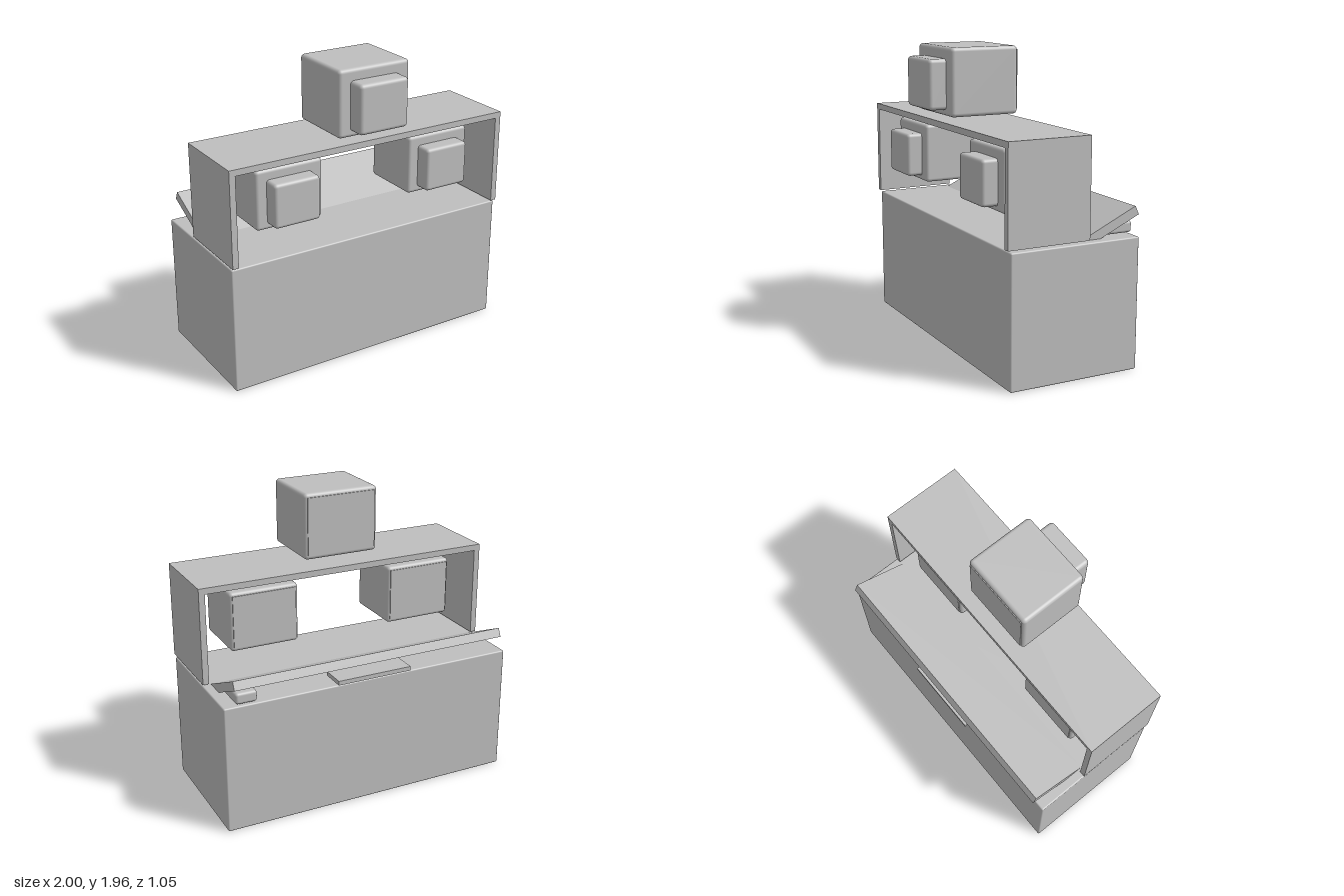
import * as THREE from 'three';
import { RoundedBoxGeometry } from 'three/addons/geometries/RoundedBoxGeometry.js';

export function createModel() {
  const model = new THREE.Group();
  const grey = new THREE.MeshStandardMaterial({ color: 0xbfbfbf });
  grey.name = 'light grey';

  const add = (name, geometry, parent = model) => {
    const mesh = new THREE.Mesh(geometry, grey);
    mesh.name = name;
    parent.add(mesh);
    return mesh;
  };

  // Box given by its limits on each axis; radius 0 keeps the edges sharp
  const block = (name, [x0, x1], [y0, y1], [z0, z1], radius = 0, parent = model) => {
    const size = [x1 - x0, y1 - y0, z1 - z0];
    const geometry = radius
      ? new RoundedBoxGeometry(...size, 3, radius)
      : new THREE.BoxGeometry(...size);
    add(name, geometry, parent).position.set((x0 + x1) / 2, (y0 + y1) / 2, (z0 + z1) / 2);
  };

  // Large cabinet
  block('cabinet', [-1, 1], [0, 0.845], [-0.485, 0.395], 0.01);

  // Open hood: two sides and a top, in one profile
  const hood = new THREE.Shape([
    [-1, 0.86], [-0.96, 0.86], [-0.96, 1.45], [0.96, 1.45],
    [0.96, 0.86], [1, 0.86], [1, 1.49], [-1, 1.49],
  ].map(([x, y]) => new THREE.Vector2(x, y)));
  add('hood', new THREE.ExtrudeGeometry(hood, { depth: 0.55, bevelEnabled: false }))
    .position.z = -0.135;

  // Sloping panel behind the hood, profile drawn as (-z, y)
  const panel = new THREE.Shape([
    [0.10, 0.842], [0.24, 0.842], [0.52, 0.968], [0.495, 1.022],
  ].map(([x, y]) => new THREE.Vector2(x, y)));
  const panelMesh = add('slopingPanel',
    new THREE.ExtrudeGeometry(panel, { depth: 1.88, bevelEnabled: false }));
  panelMesh.rotation.y = Math.PI / 2;
  panelMesh.position.x = -0.94;

  // Flat tray and small pad beneath the panel
  block('rearTray', [-0.255, 0.255], [0.865, 0.893], [-0.525, -0.36]);
  block('smallPad', [0.78, 0.92], [0.855, 0.928], [-0.485, -0.29], 0.018);

  // Boxy unit with a smaller block in front and a thin back cover
  const unit = (name, x, y, z, s) => {
    const g = new THREE.Group();
    g.name = name;
    block('unitBody', [-0.255, 0.255], [0, 0.43], [-0.23, 0.23], 0.025, g);
    block('unitFront', [-0.175, 0.173], [0.04, 0.357], [0.18, 0.345], 0.025, g);
    block('unitBackCover', [-0.235, 0.235], [0.03, 0.405], [-0.236, -0.228], 0, g);
    g.position.set(x, y, z);
    g.scale.setScalar(s);
    model.add(g);
  };
  unit('topUnit', 0, 1.532, 0.18, 1);
  unit('rightUnit', -0.557, 1.02, 0.122, 0.905);
  unit('leftUnit', 0.555, 1.02, 0.122, 0.905);

  return model;
}
